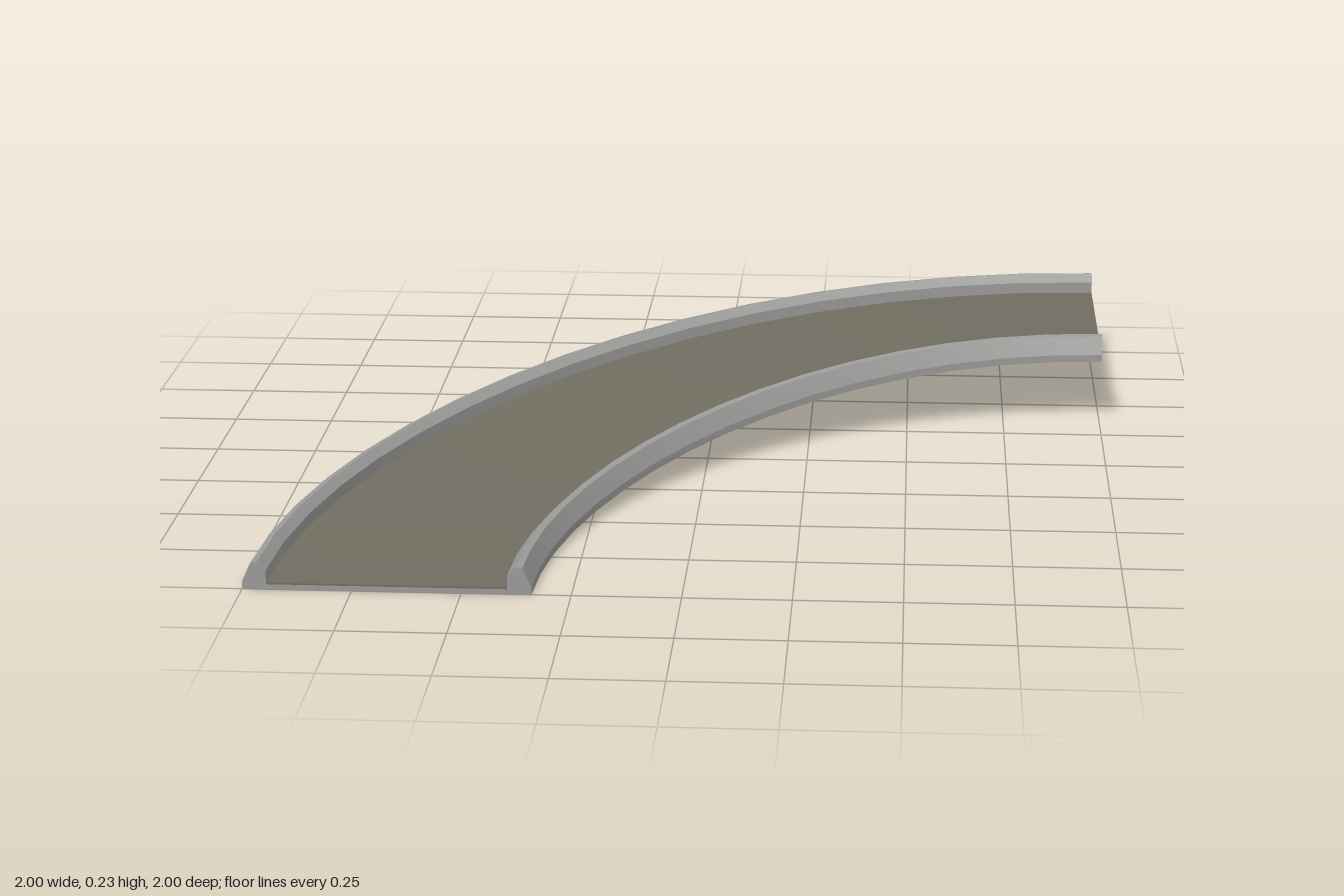
import * as THREE from 'three';
import { toCreasedNormals } from 'three/addons/utils/BufferGeometryUtils.js';

const SEGMENTS = 16, RISE = 0.17, INNER = 1.34, OUTER = 2;

// Point of the cross-section (radius, height) carried along the climbing quarter turn
function trackPoint(p, t) {
  const a = t * Math.PI / 2, s = Math.sin(a);
  return [1 - p.x * Math.cos(a), p.y + RISE * s * s, 1 - p.x * s];
}

// Sweep a closed counter-clockwise cross-section along the turn, with end caps
function sweep(name, profile, material) {
  const pts = profile.map(([r, y]) => new THREE.Vector2(r, y));
  const n = pts.length, pos = [];
  const tri = (...corners) => corners.forEach(([i, t]) => pos.push(...trackPoint(pts[i], t)));
  for (let k = 0; k < SEGMENTS; k++) {
    const t0 = k / SEGMENTS, t1 = (k + 1) / SEGMENTS;
    for (let i = 0; i < n; i++) {
      const j = (i + 1) % n;
      tri([i, t0], [j, t0], [j, t1]);
      tri([i, t0], [j, t1], [i, t1]);
    }
  }
  for (const [a, b, c] of THREE.ShapeUtils.triangulateShape(pts, [])) {
    tri([a, 1], [b, 1], [c, 1]);
    tri([c, 0], [b, 0], [a, 0]);
  }
  const geometry = new THREE.BufferGeometry();
  geometry.setAttribute('position', new THREE.Float32BufferAttribute(pos, 3));
  const mesh = new THREE.Mesh(toCreasedNormals(geometry, Math.PI / 9), material);
  mesh.name = name;
  return mesh;
}

export function createModel() {
  const concrete = new THREE.MeshStandardMaterial({ color: 0x9a9a99 });
  concrete.name = 'concrete grey';
  const asphalt = new THREE.MeshStandardMaterial({ color: 0x706c60 });
  asphalt.name = 'warm road grey';

  const box = (r0, r1, y0, y1) => [[r0, y0], [r1, y0], [r1, y1], [r0, y1]];

  // Kerb leaning in towards the road; the inner one is its mirror image
  const outerKerb = [[1.945, 0], [OUTER, 0], [OUTER, 0.018], [1.98, 0.062],
    [1.965, 0.065], [1.945, 0.045]];
  const innerKerb = outerKerb.map(([r, y]) => [INNER + OUTER - r, y]).reverse();

  const group = new THREE.Group();
  group.name = 'curvedRamp';
  group.add(
    sweep('outerKerb', outerKerb, concrete),
    sweep('innerKerb', innerKerb, concrete),
    sweep('roadBed', box(1.395, 1.945, 0, 0.012), concrete),
    sweep('roadSurface', box(1.395, 1.945, 0.012, 0.016), asphalt)
  );
  return group;
}
